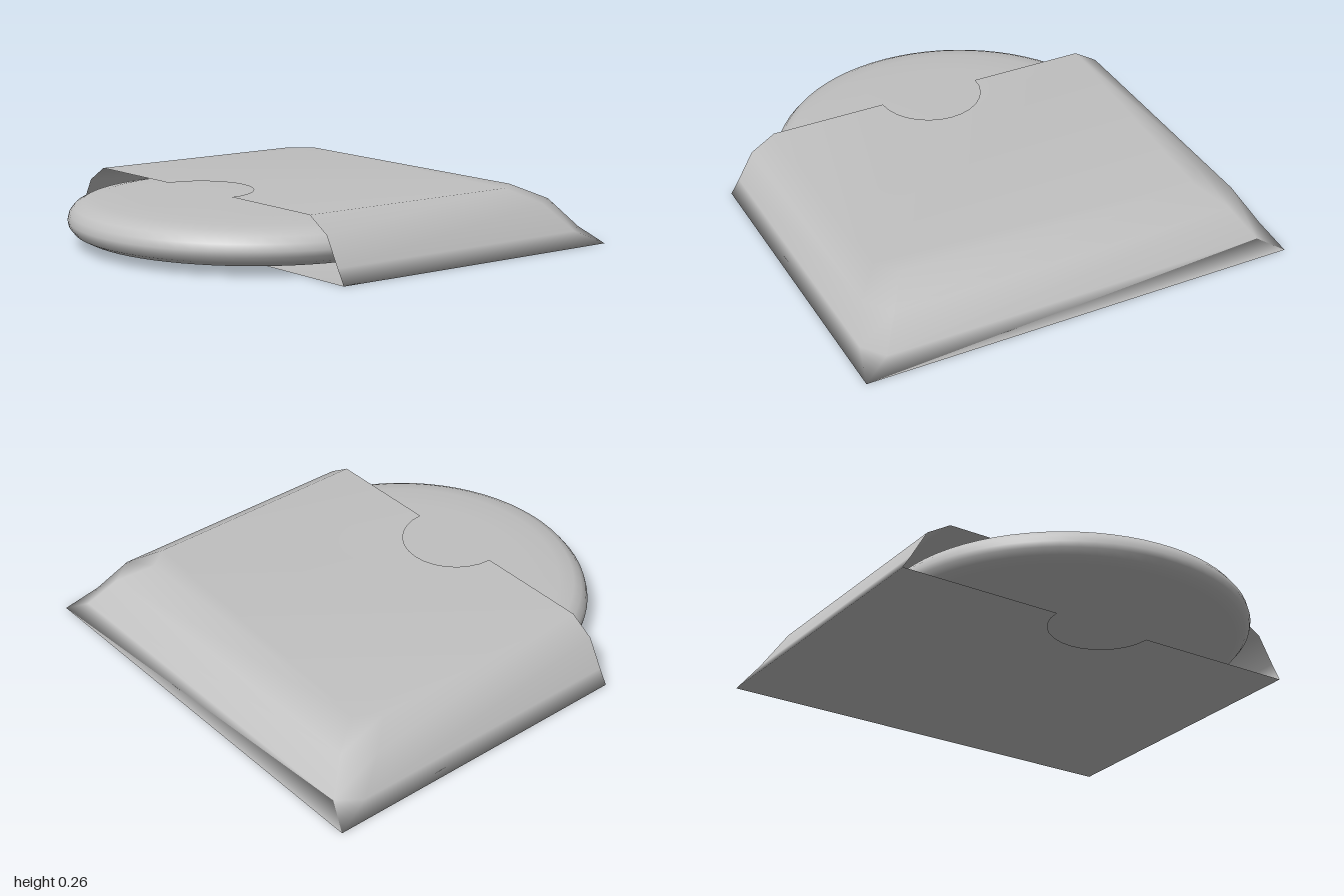
import * as THREE from 'three';
import { mergeVertices } from 'three/addons/utils/BufferGeometryUtils.js';

const FRONT = 0.475;

// Open outline of the sleeve at one height: front left, around the back, front right
function outline({ x, y, back, cut }) {
  const half = [[x, FRONT], [x, back + cut], [x - cut * 0.75, back]];
  const mirrored = half.map(([px, pz]) => [-px, pz]).reverse();
  return [...half, ...mirrored].map(([px, pz]) => new THREE.Vector3(px, y, pz));
}

// Half-round thumb notch in the open edge
function notch(y) {
  const points = [];
  for (let i = 0; i <= 14; i++) {
    const a = (i / 14) * Math.PI;
    points.push(new THREE.Vector3(-0.235 * Math.cos(a), y, FRONT - 0.235 * Math.sin(a)));
  }
  return points;
}

function sleeveGeometry() {
  const rings = [
    { x: 0.99, y: 0, back: -1, cut: 0 },
    { x: 0.95, y: 0.066, back: -0.95, cut: 0.1 },
    { x: 0.88, y: 0.19, back: -0.845, cut: 0.12 },
    { x: 0.77, y: 0.257, back: -0.7, cut: 0.1 },
  ].map(outline);
  const triangles = [];

  // Sloping walls on three sides
  for (let j = 0; j < rings.length - 1; j++) {
    for (let i = 0; i < rings[j].length - 1; i++) {
      const a = rings[j][i], b = rings[j][i + 1];
      const c = rings[j + 1][i], d = rings[j + 1][i + 1];
      triangles.push(a, b, d, a, d, c);
    }
  }

  // Notched bottom and top panels
  const panel = (ring, facing) => {
    const points = [...ring, ...notch(ring[0].y)];
    const flat = points.map((p) => new THREE.Vector2(p.x, p.z));
    for (const [i, j, k] of THREE.ShapeUtils.triangulateShape(flat, [])) {
      const [a, b, c] = [points[i], points[j], points[k]];
      const up = (b.z - a.z) * (c.x - a.x) - (b.x - a.x) * (c.z - a.z);
      triangles.push(...(up * facing > 0 ? [a, b, c] : [a, c, b]));
    }
  };
  panel(rings[0].filter((p, i) => i !== 2 && i !== 3), -1);
  panel(rings[rings.length - 1], 1);

  const geometry = mergeVertices(new THREE.BufferGeometry().setFromPoints(triangles));
  geometry.computeVertexNormals();
  return geometry;
}

export function createModel() {
  const model = new THREE.Group();
  model.name = 'discInSleeve';
  const sleeveGrey = new THREE.MeshStandardMaterial({ color: 0xc0c0c0, side: THREE.DoubleSide });
  sleeveGrey.name = 'light grey';

  // Hollow sleeve, open at the front
  const sleeve = new THREE.Mesh(sleeveGeometry(), sleeveGrey);
  sleeve.name = 'sleeve';
  model.add(sleeve);

  // Thick disc with a rounded rim, half slid out
  const profile = [
    [0, 0.024], [0.55, 0.026], [0.7, 0.031], [0.765, 0.04], [0.805, 0.06], [0.825, 0.085],
    [0.83, 0.11], [0.822, 0.14], [0.8, 0.168], [0.765, 0.186], [0.7, 0.197], [0.55, 0.206], [0, 0.212],
  ].map(([r, y]) => new THREE.Vector2(r, y));
  const disc = new THREE.Mesh(new THREE.LatheGeometry(profile, 72), sleeveGrey);
  disc.name = 'disc';
  disc.position.z = 0.17;
  model.add(disc);

  return model;
}
